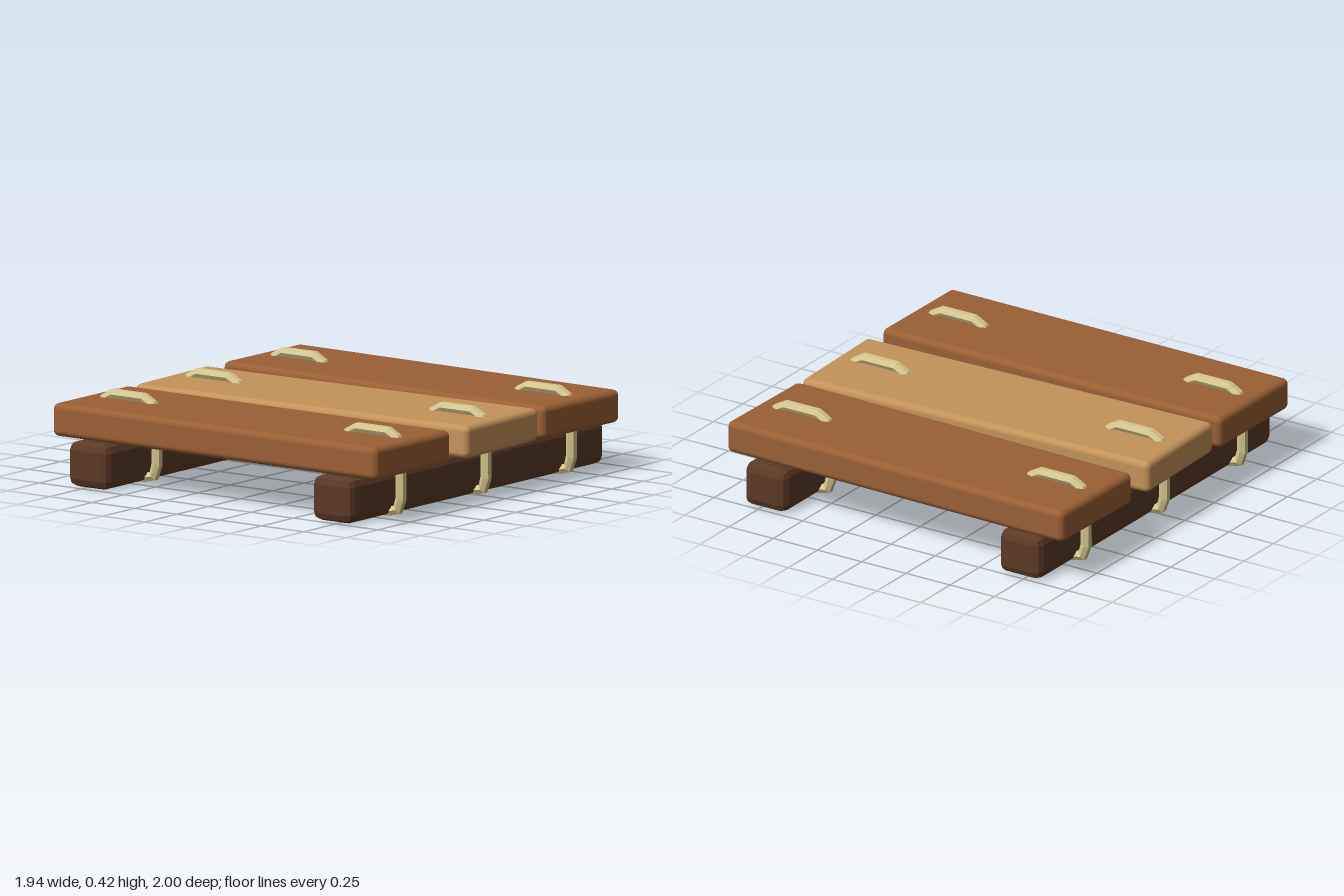
import * as THREE from 'three';
import { RoundedBoxGeometry } from 'three/addons/geometries/RoundedBoxGeometry.js';

// Closed polygon path whose samples land exactly on its corners
class LoopPath extends THREE.Curve {
  constructor(points) {
    super();
    this.points = points;
  }
  corner(i) {
    const n = this.points.length;
    return this.points[((i % n) + n) % n];
  }
  getPointAt(u) {
    return this.corner(Math.round(u * this.points.length)).clone();
  }
  getTangentAt(u) {
    const i = Math.round(u * this.points.length);
    const a = this.corner(i).clone().sub(this.corner(i - 1)).normalize();
    const b = this.corner(i + 1).clone().sub(this.corner(i)).normalize();
    return a.add(b).normalize();
  }
}

function material(color, flatShading = false) {
  const m = new THREE.MeshStandardMaterial({ flatShading });
  m.color.set(color);
  return m;
}

export function createModel() {
  const model = new THREE.Group();
  model.name = 'plankPlatform';
  const darkWood = material(0x5c3a26, true);
  const redWood = material(0x9a5f34);
  const lightWood = material(0xc4935a);
  const ropeColor = material(0xd6c78e, true);

  const add = (name, geometry, mat, x, y, z) => {
    const mesh = new THREE.Mesh(geometry, mat);
    mesh.name = name;
    mesh.position.set(x, y, z);
    model.add(mesh);
    return mesh;
  };

  // Rope loop: one half of the outline, mirrored to close it
  const half = [[0.09, 0.402], [0.14, 0.375], [0.165, 0.33], [0.165, 0.09], [0.147, 0.034], [0.1, 0.025]];
  const outline = [
    ...half,
    ...half.slice().reverse().map(([x, y]) => [-x, y]),
  ].map(([x, y]) => new THREE.Vector3(x, y, 0));
  const ropeGeometry = new THREE.TubeGeometry(new LoopPath(outline), outline.length, 0.027, 6, true);

  const beamGeometry = new RoundedBoxGeometry(0.235, 0.217, 2, 1, 0.04);
  const plankGeometry = new RoundedBoxGeometry(1.925, 0.158, 0.592, 3, 0.03);

  // Two bearers with three lashings each
  for (const [side, x] of [['left', 0.72], ['right', -0.72]]) {
    add(side + 'Beam', beamGeometry, darkWood, x, 0.1125, 0);
    for (const z of [-0.67, 0, 0.667]) add(side + 'Rope', ropeGeometry, ropeColor, x, 0, z);
  }

  // Slightly skewed deck planks
  const planks = [
    ['backPlank', redWood, -0.67, -0.02],
    ['middlePlank', lightWood, -0.003, 0.031],
    ['frontPlank', redWood, 0.664, -0.008],
  ];
  for (const [name, mat, z, turn] of planks) {
    add(name, plankGeometry, mat, 0, 0.303, z).rotation.y = turn;
  }

  return model;
}
